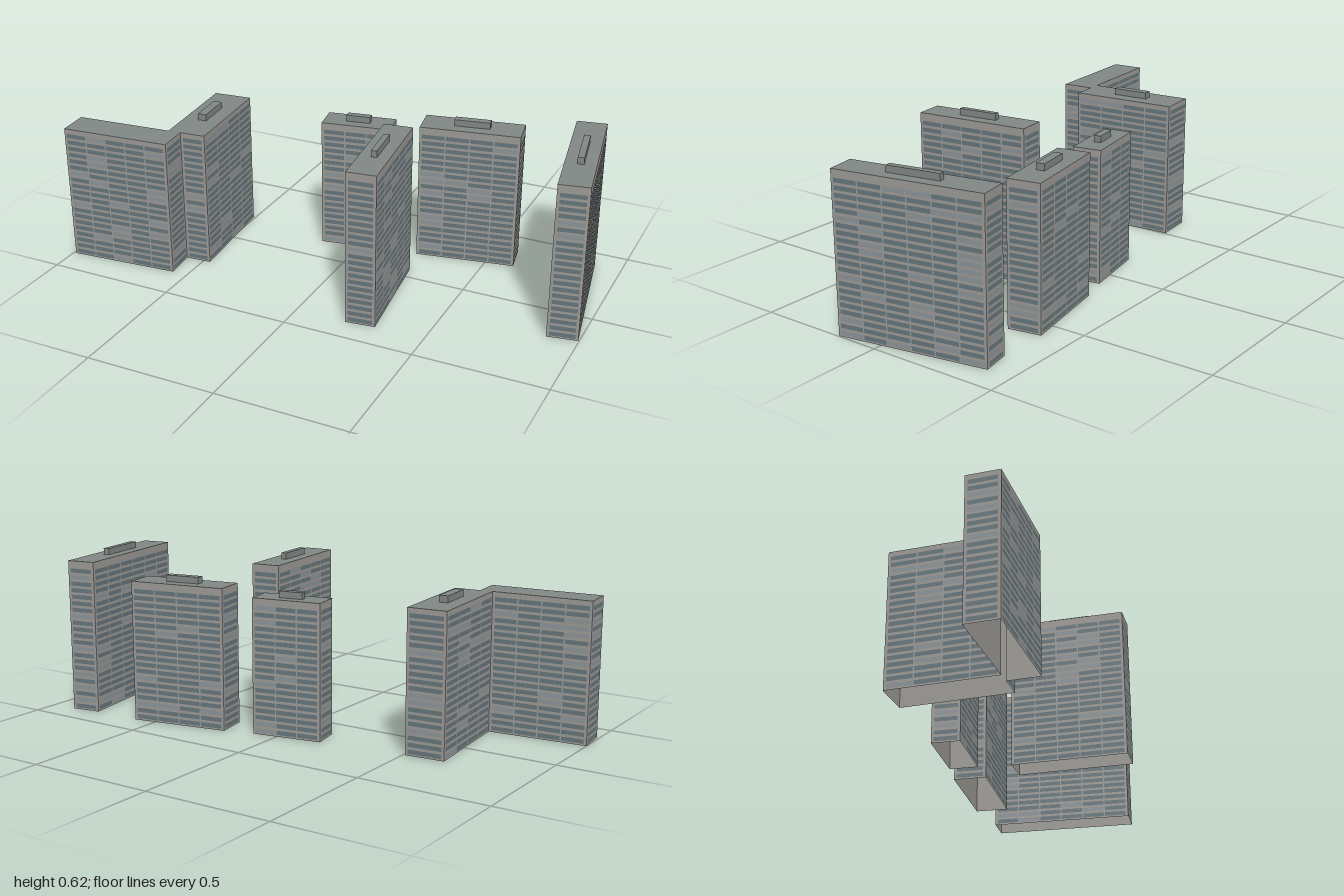
import * as THREE from 'three';
import { mergeGeometries } from 'three/addons/utils/BufferGeometryUtils.js';

const material = (color) => new THREE.MeshStandardMaterial({ color, side: THREE.DoubleSide });
const FLOOR = 0.0259, BAY = 0.092, MARGIN = 0.008;

// Corners [x, z] of a turned rectangle, in the order the walls run
function rectangle(x, z, length, width, angle) {
  const c = Math.cos(angle), s = Math.sin(angle);
  return [[-1, -1], [1, -1], [1, 1], [-1, 1]].map(([a, b]) => {
    const u = a * length / 2, v = b * width / 2;
    return [x + u * c - v * s, z + u * s + v * c];
  });
}

function seeded(seed) {
  return () => (seed = (seed * 16807) % 2147483647) / 2147483647;
}

export function createModel() {
  const model = new THREE.Group();
  model.name = 'apartmentBlocks';
  const wallMat = material(0x9a9894), roofMat = material(0x7f8683);
  const darkMat = material(0x64747a), paleMat = material(0x8a9296);
  const random = seeded(4217);

  function building(name, corners, height, crown) {
    const group = new THREE.Group();
    group.name = name;
    const add = (part, geometry, mat) => {
      const mesh = new THREE.Mesh(geometry, mat);
      mesh.name = part;
      group.add(mesh);
      return mesh;
    };

    const walls = [], dark = [], pale = [];
    const rows = Math.round((height - 0.027) / FLOOR);
    corners.forEach(([x0, z0], i) => {
      const [x1, z1] = corners[(i + 1) % corners.length];
      const dx = x1 - x0, dz = z1 - z0, length = Math.hypot(dx, dz);
      // A rectangle in the plane of this wall, u along it from its middle
      const panel = (w, h, u, y, out) => new THREE.PlaneGeometry(w, h)
        .translate(u, y, out)
        .rotateY(Math.atan2(dz, -dx))
        .translate((x0 + x1) / 2, 0, (z0 + z1) / 2);
      walls.push(panel(length, height, 0, height / 2, 0));

      // Strips of windows, one per bay and floor, some with pale blinds
      const bays = Math.max(1, Math.round((length - 2 * MARGIN) / BAY));
      const bay = (length - 2 * MARGIN) / bays;
      for (let r = 0; r < rows; r++) {
        for (let b = 0; b < bays; b++) {
          const u = (b + 0.5 - bays / 2) * bay;
          (random() < 0.15 ? pale : dark)
            .push(panel(bay - 0.005, 0.016, u, 0.015 + r * FLOOR, 0.0008));
        }
      }
    });
    add('walls', mergeGeometries(walls), wallMat);
    add('windows', mergeGeometries(dark), darkMat);
    if (pale.length) add('paleWindows', mergeGeometries(pale), paleMat);

    // Flat roof with a machine room on it
    const shape = new THREE.Shape(corners.map(([x, z]) => new THREE.Vector2(x, -z)));
    add('roof', new THREE.ShapeGeometry(shape).rotateX(-Math.PI / 2).translate(0, height, 0), roofMat);
    const [x, z, length, width, angle] = crown;
    const room = add('roofRoom', new THREE.BoxGeometry(length, 0.025, width), roofMat);
    room.position.set(x, height + 0.0125, z);
    room.rotation.y = -angle;
    model.add(group);
  }

  // Four slabs: x, z, length, width, angle, height, roof room length and width
  const slabs = [
    ['smallSlab', -0.029, -0.204, 0.272, 0.111, -0.174, 0.517, 0.093, 0.028],
    ['backSlab', 0.409, -0.286, 0.386, 0.128, -0.178, 0.544, 0.137, 0.032],
    ['middleSlab', 0.228, 0.172, 0.45, 0.113, 1.452, 0.597, 0.155, 0.022],
    ['endSlab', 0.89, -0.108, 0.575, 0.114, 1.394, 0.597, 0.205, 0.024],
  ];
  for (const [name, x, z, l, w, angle, height, roomL, roomW] of slabs) {
    building(name, rectangle(x, z, l, w, angle), height, [x, z, roomL, roomW, angle]);
  }

  // Two wings joined at a corner
  building('cornerBlock', [
    [-0.658, -0.182], [-0.508, -0.195], [-0.473, 0.222], [-0.572, 0.23],
    [-0.561, 0.352], [-0.99, 0.387], [-1.0, 0.264], [-0.622, 0.233],
  ], 0.535, [-0.566, 0.019, 0.142, 0.034, 1.481]);

  return model;
}
